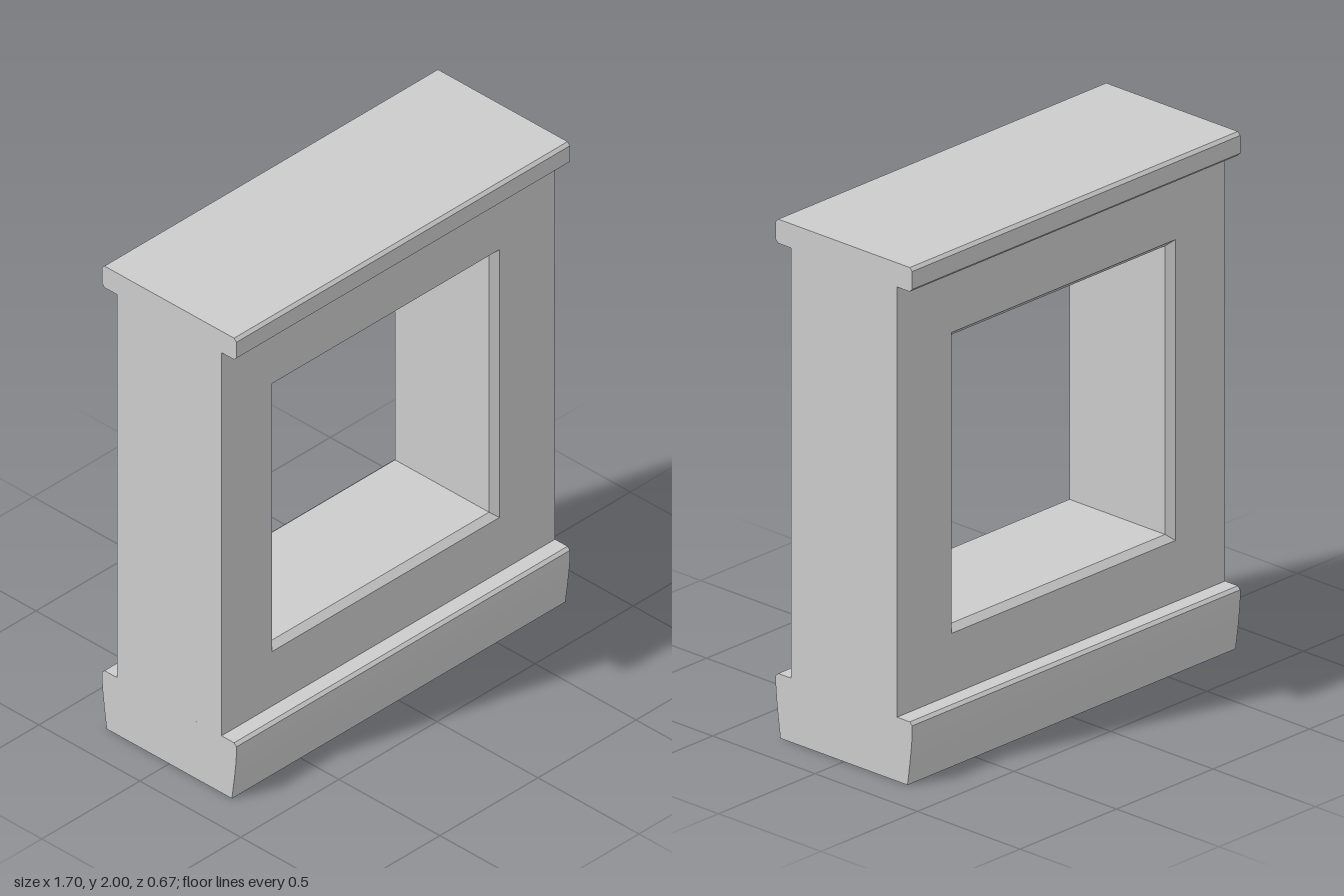
import * as THREE from 'three';
import { toCreasedNormals } from 'three/addons/utils/BufferGeometryUtils.js';

const WIDTH = 1.7;
const material = new THREE.MeshStandardMaterial({ color: 0xcccccc });

// Rectangle corners, counter-clockwise seen from the front
const rect = (x0, x1, y0, y1, z) => [[x0, y0, z], [x1, y0, z], [x1, y1, z], [x0, y1, z]];

// Closed skin through a ring of rectangles, with flat faces
function ringLoft(loops) {
  const positions = [];
  loops.forEach((loop, k) => {
    const next = loops[(k + 1) % loops.length];
    for (let i = 0; i < 4; i++) {
      const j = (i + 1) % 4;
      positions.push(...loop[i], ...loop[j], ...next[j], ...loop[i], ...next[j], ...next[i]);
    }
  });
  const geometry = new THREE.BufferGeometry();
  geometry.setAttribute('position', new THREE.Float32BufferAttribute(positions, 3));
  geometry.computeVertexNormals();
  return geometry;
}

// Half profile of [z, y] points from bottom to top, mirrored and run along x
function moulding(half) {
  const mirrored = half.map(([z, y]) => [-z, y]).reverse();
  const shape = new THREE.Shape([...half, ...mirrored].map(([z, y]) => new THREE.Vector2(z, y)));
  const geometry = new THREE.ExtrudeGeometry(shape, { depth: WIDTH, bevelEnabled: false });
  geometry.translate(0, 0, -WIDTH / 2).rotateY(Math.PI / 2);
  return toCreasedNormals(geometry, 0.3);
}

export function createModel() {
  const group = new THREE.Group();
  const add = (name, geometry) => {
    const mesh = new THREE.Mesh(geometry, material);
    mesh.name = name;
    group.add(mesh);
  };

  // Wall with a through opening, bevelled on both faces
  const d = 0.259, inset = 0.233, x = WIDTH / 2;
  const outer = (z) => rect(-x, x, 0.247, 1.907, z);
  const mouth = (z) => rect(-0.593, 0.567, 0.483, 1.644, z);
  const throat = (z) => rect(-0.566, 0.54, 0.507, 1.62, z);
  add('wall', ringLoft([
    outer(d), mouth(d), throat(inset), throat(-inset), mouth(-d), outer(-d),
  ]));

  // Base with gently flared sides and a chamfered upper edge
  add('plinth', moulding([
    [0.31, 0], [0.321, 0.08], [0.329, 0.15], [0.333, 0.2], [0.333, 0.235], [0.321, 0.247],
  ]));

  // Cap slab with chamfered edges
  add('cap', moulding([[0.321, 1.907], [0.333, 1.919], [0.333, 1.988], [0.321, 2]]));

  return group;
}
